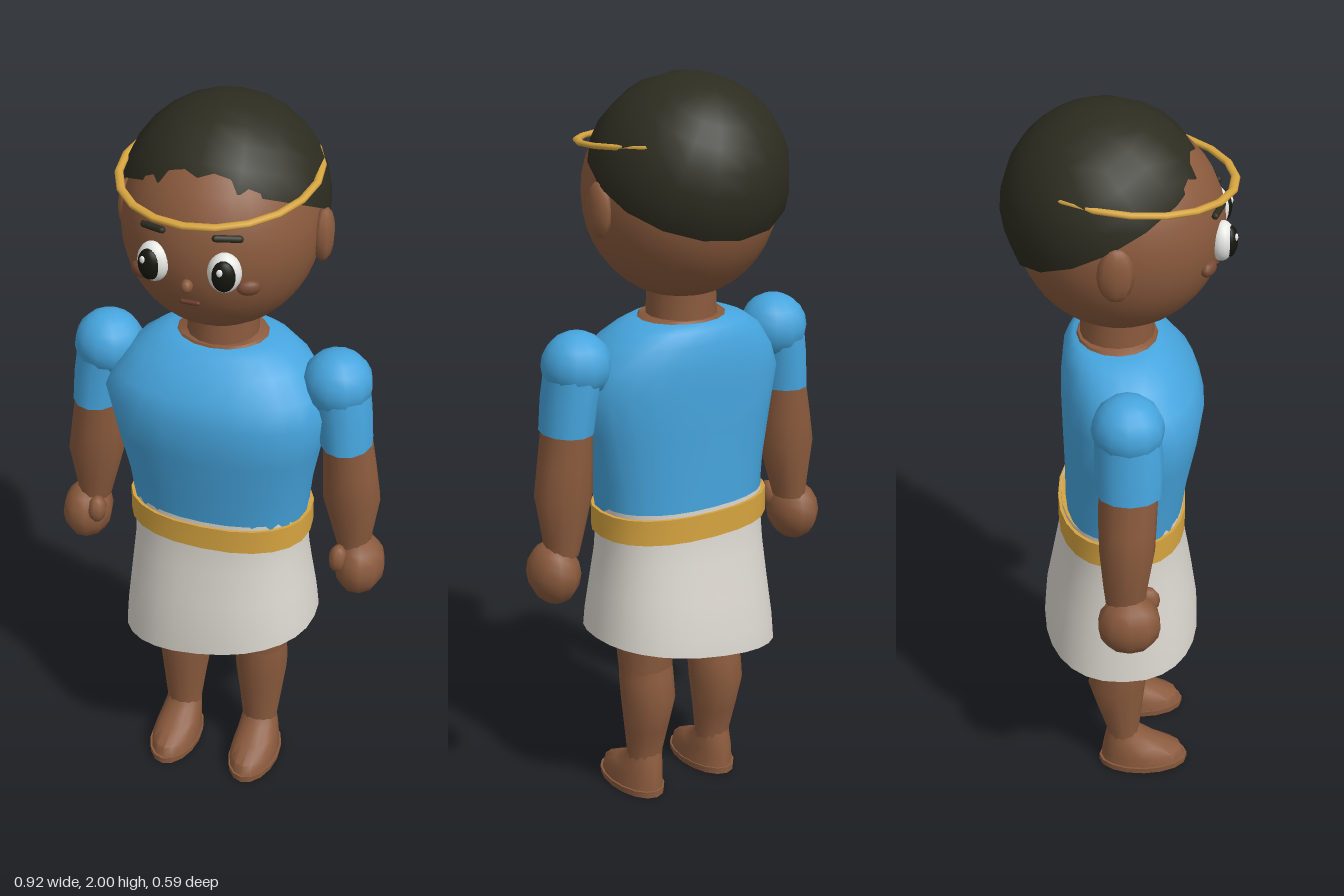
import * as THREE from 'three';
import { toCreasedNormals } from 'three/addons/utils/BufferGeometryUtils.js';

const mat = (name, color, side = THREE.FrontSide) => {
  const m = new THREE.MeshStandardMaterial({ color, side });
  m.name = name;
  return m;
};

// Stacked rings, bottom to top. Row: [y, centreX, radiusX, frontZ, backZ]; power > 2 squares the ring.
function loft(rows, { seg = 12, power = 2, caps = true, bend = null, crease = 0.9 } = {}) {
  const pos = [], index = [];
  const round = (t) => Math.sign(t) * Math.pow(Math.abs(t), 2 / power);
  for (const [y, cx, rx, zf, zb] of rows) {
    for (let i = 0; i < seg; i++) {
      const a = (i / seg) * Math.PI * 2;
      const x = cx + rx * round(Math.sin(a));
      const z = (zf + zb) / 2 + ((zf - zb) / 2) * round(Math.cos(a));
      pos.push(x, bend ? bend(x, y) : y, z);
    }
  }
  for (let r = 0; r < rows.length - 1; r++) {
    for (let i = 0; i < seg; i++) {
      const a = r * seg + i, b = r * seg + ((i + 1) % seg);
      index.push(a, b, b + seg, a, b + seg, a + seg);
    }
  }
  if (caps) {
    const addCap = (row, start, up) => {
      const c = pos.length / 3;
      pos.push(row[1], row[0], (row[3] + row[4]) / 2);
      for (let i = 0; i < seg; i++) {
        const a = start + i, b = start + ((i + 1) % seg);
        index.push(c, up ? a : b, up ? b : a);
      }
    };
    addCap(rows[0], 0, false);
    addCap(rows[rows.length - 1], (rows.length - 1) * seg, true);
  }
  const g = new THREE.BufferGeometry();
  g.setAttribute('position', new THREE.Float32BufferAttribute(pos, 3));
  g.setIndex(index);
  return toCreasedNormals(g, crease);
}

export function createModel() {
  const model = new THREE.Group();
  const skin = mat('skin', 0x8a5a3d);
  const blush = mat('cheek brown', 0x774a33);
  const lip = mat('lip brown', 0x6a3a2a);
  const hair = mat('hair black', 0x2c2c20, THREE.DoubleSide);
  const blue = mat('shirt blue', 0x46a5de);
  const cloth = mat('skirt white', 0xdbd7cf, THREE.DoubleSide);
  const gold = mat('gold', 0xd6a440);
  const white = mat('eye white', 0xf2f2ee);
  const black = mat('eye black', 0x16160f);

  const add = (name, geo, material, parent = model) => {
    const m = new THREE.Mesh(geo, material);
    m.name = name;
    parent.add(m);
    return m;
  };
  const ball = (name, material, [x, y, z], [rx, ry, rz], parent = model, w = 12, h = 8) => {
    const m = add(name, new THREE.SphereGeometry(1, w, h), material, parent);
    m.position.set(x, y, z);
    m.scale.set(rx, ry, rz);
    return m;
  };

  // Head, hair cap tilted backwards, circlet
  ball('head', skin, [0, 1.69, 0], [0.25, 0.27, 0.262], model, 28, 20);
  const cap = add('hair', new THREE.SphereGeometry(0.262, 16, 7, 0, Math.PI * 2, 0, Math.PI / 2), hair);
  cap.position.set(0, 1.74, -0.035);
  cap.rotation.x = -0.49;
  const ring = add('circlet', new THREE.TorusGeometry(0.25, 0.011, 8, 20), gold);
  ring.scale.set(0.98, 1.07, 0.7);
  ring.position.set(0, 1.833, 0.016);
  ring.rotation.x = Math.PI / 2 + 0.1;

  // Face
  ball('nose', skin, [0, 1.635, 0.262], [0.015, 0.018, 0.018]);
  const mouth = add('mouth', new THREE.CapsuleGeometry(0.006, 0.04, 3, 8), lip);
  mouth.rotation.z = Math.PI / 2;
  mouth.position.set(0, 1.58, 0.241);

  // Neck and collar
  add('neck', loft([[1.34, 0, 0.095, 0.09, -0.105], [1.46, 0, 0.09, 0.085, -0.1]], { seg: 16 }), skin);
  add('collar', loft([[1.355, 0, 0.135, 0.105, -0.12], [1.376, 0, 0.115, 0.095, -0.11]], { seg: 16 }), skin);

  // Shirt body
  add('shirt', loft([
    [0.82, 0, 0.235, 0.16, -0.148],
    [0.95, 0, 0.25, 0.178, -0.148],
    [1.08, 0, 0.277, 0.203, -0.152],
    [1.2, 0, 0.302, 0.218, -0.155],
    [1.26, 0, 0.278, 0.198, -0.154],
    [1.32, 0, 0.23, 0.155, -0.148],
    [1.355, 0, 0.18, 0.12, -0.135],
    [1.37, 0, 0.14, 0.1, -0.12],
  ], { seg: 24, power: 2.3, crease: 1.1 }), blue);

  // Wrapped skirt with a slanted hem
  const slant = (x, y) => y + 0.159 * x * THREE.MathUtils.clamp((0.8 - y) / 0.33, 0, 1);
  add('skirt', loft([
    [0.463, 0, 0.27, 0.216, -0.212],
    [0.52, 0, 0.265, 0.213, -0.208],
    [0.62, 0, 0.252, 0.198, -0.19],
    [0.72, 0, 0.24, 0.18, -0.172],
    [0.8, 0, 0.236, 0.17, -0.16],
    [0.876, 0, 0.24, 0.169, -0.16],
  ], { seg: 28, power: 2.3, caps: false, bend: slant }), cloth);
  add('belt', loft([[0.795, 0, 0.25, 0.176, -0.168], [0.864, 0, 0.25, 0.176, -0.168]],
    { seg: 24, power: 2.3 }), gold);

  for (const s of [1, -1]) {
    const side = s > 0 ? 'left' : 'right';

    // Eye, brow, cheek, ear
    const eye = new THREE.Group();
    eye.name = side + 'Eye';
    eye.position.set(0.09 * s, 1.68, 0.246);
    eye.rotation.y = 0.22 * s;
    model.add(eye);
    ball('eyeball', white, [0, 0, 0], [0.042, 0.052, 0.032], eye, 16, 12);
    ball('pupil', black, [0, 0, 0.019], [0.03, 0.041, 0.02], eye, 16, 12);
    ball('highlight', white, [-0.008, 0.016, 0.035], [0.008, 0.01, 0.005], eye);
    const brow = add(side + 'Brow', new THREE.CapsuleGeometry(0.009, 0.058, 3, 8), hair);
    brow.position.set(0.094 * s, 1.765, 0.235);
    brow.rotation.set(0, 0.38 * s, Math.PI / 2 - 0.06 * s);
    ball(side + 'Cheek', blush, [0.14 * s, 1.63, 0.211], [0.03, 0.02, 0.016]).rotation.y = 0.55 * s;
    ball(side + 'Ear', skin, [0.256 * s, 1.68, -0.02], [0.026, 0.072, 0.046], model, 8, 8);

    // Arm
    ball(side + 'ShoulderPuff', blue, [0.312 * s, 1.28, 0.008], [0.092, 0.09, 0.092], model, 12, 10);
    add(side + 'Sleeve', loft([
      [1.11, 0.344 * s, 0.068, 0.096, -0.072],
      [1.2, 0.334 * s, 0.072, 0.096, -0.076],
      [1.28, 0.318 * s, 0.078, 0.09, -0.076],
    ]), blue);
    add(side + 'Arm', loft([
      [0.78, 0.372 * s, 0.044, 0.05, -0.05],
      [0.83, 0.368 * s, 0.054, 0.058, -0.056],
      [0.94, 0.361 * s, 0.078, 0.076, -0.066],
      [1.02, 0.354 * s, 0.072, 0.08, -0.068],
      [1.15, 0.342 * s, 0.062, 0.085, -0.066],
    ]), skin);
    ball(side + 'Hand', skin, [0.393 * s, 0.727, 0.01], [0.068, 0.085, 0.084], model, 10, 8);
    ball(side + 'Thumb', skin, [0.345 * s, 0.765, 0.06], [0.025, 0.04, 0.032], model, 8, 6);

    // Leg
    add(side + 'Thigh', loft([
      [0.38, 0.115 * s, 0.074, 0.07, -0.075],
      [0.46, 0.115 * s, 0.08, 0.08, -0.082],
      [0.74, 0.115 * s, 0.1, 0.1, -0.1],
    ]), skin);
    add(side + 'Shin', loft([
      [0.07, 0.115 * s, 0.048, 0.05, -0.04],
      [0.12, 0.115 * s, 0.051, 0.05, -0.042],
      [0.2, 0.115 * s, 0.061, 0.058, -0.068],
      [0.29, 0.114 * s, 0.073, 0.068, -0.094],
      [0.36, 0.114 * s, 0.075, 0.072, -0.08],
      [0.42, 0.115 * s, 0.07, 0.068, -0.072],
    ]), skin);

    // Foot and sole
    add(side + 'Foot', loft([
      [0.015, 0.119 * s, 0.066, 0.182, -0.058],
      [0.045, 0.119 * s, 0.064, 0.172, -0.056],
      [0.07, 0.118 * s, 0.058, 0.115, -0.052],
      [0.1, 0.116 * s, 0.052, 0.066, -0.046],
      [0.125, 0.115 * s, 0.046, 0.046, -0.04],
    ], { seg: 16 }), skin);
    add(side + 'Sole', loft([
      [0, 0.12 * s, 0.068, 0.188, -0.064],
      [0.018, 0.12 * s, 0.07, 0.188, -0.064],
    ], { seg: 16 }), skin);
  }
  return model;
}
